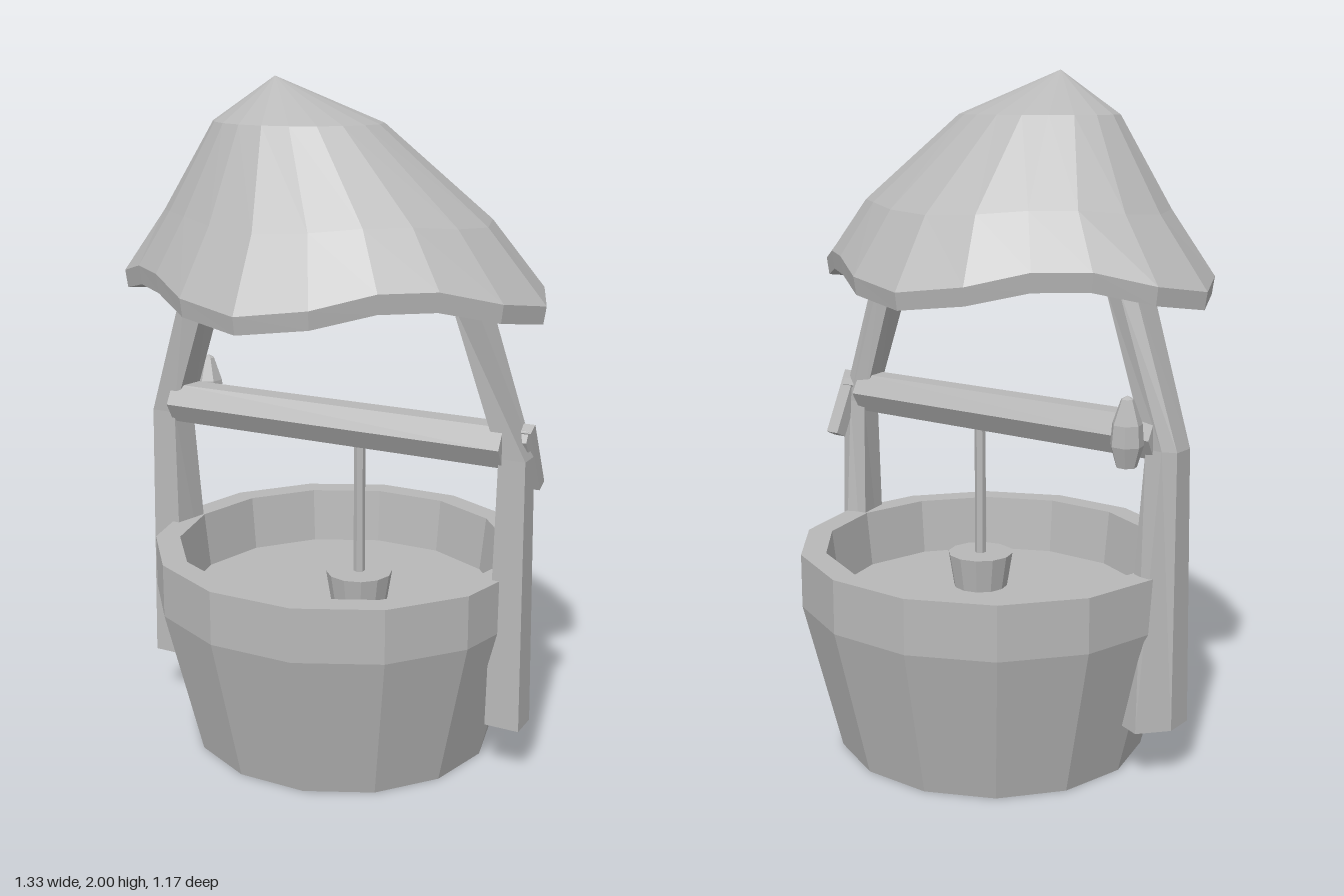
import * as THREE from 'three';

const stone = new THREE.MeshStandardMaterial({ color: 0xb8b8b8, flatShading: true, side: THREE.DoubleSide });
stone.name = 'plain grey';

// Skin a list of equal-length rings of [x, y, z]; a ring may repeat one point to form a tip
function loft(rings, capEnds = false) {
  const n = rings[0].length, pos = rings.flat(2), idx = [];
  for (let r = 0; r < rings.length - 1; r++) {
    for (let i = 0; i < n; i++) {
      const a = r * n + i, b = r * n + (i + 1) % n;
      idx.push(a, a + n, b, b, a + n, b + n);
    }
  }
  if (capEnds) {
    const top = (rings.length - 1) * n;
    for (let i = 1; i < n - 1; i++) idx.push(0, i, i + 1, top, top + i + 1, top + i);
  }
  const g = new THREE.BufferGeometry();
  g.setAttribute('position', new THREE.Float32BufferAttribute(pos, 3));
  g.setIndex(idx);
  g.computeVertexNormals();
  return g;
}

const lathe = (pts, sides, start = 0) =>
  new THREE.LatheGeometry(pts.map(p => new THREE.Vector2(...p)), sides, start);

export function createModel() {
  const model = new THREE.Group();
  model.name = 'well';
  const add = (name, geometry, x = 0, y = 0, z = 0) => {
    const m = new THREE.Mesh(geometry, stone);
    m.name = name;
    m.position.set(x, y, z);
    model.add(m);
    return m;
  };

  // Basin: open below, thick rim on top
  const half = Math.PI / 14;
  const basin = add('basin', lathe([[0.467, 0], [0.58, 0.45], [0.58, 0.61], [0.505, 0.61], [0.485, 0.44]], 14, half), 0, 0, -0.03);
  basin.scale.z = 0.98;
  const water = add('water', lathe([[0.485, 0.44], [0, 0.44]], 14, half), 0, 0, -0.03);
  water.scale.z = 0.98;

  // Bent posts, flared at the foot, mirrored left and right
  const sections = [
    [0.16, [[0.63, 0.08], [0.63, -0.01], [0.56, -0.09], [0.49, -0.06], [0.525, 0.08]]],
    [0.97, [[0.62, 0.07], [0.62, 0], [0.58, -0.015], [0.525, -0.01], [0.54, 0.07]]],
    [1.42, [[0.465, 0.1], [0.47, 0], [0.43, -0.02], [0.38, -0.01], [0.385, 0.08]]],
  ];
  for (const [name, s] of [['leftPost', 1], ['rightPost', -1]]) {
    const rings = sections.map(([y, pts]) => pts.map(([x, z]) => [s * x, y, z]));
    if (s < 0) rings.forEach(r => r.reverse());
    add(name, loft(rings, true));
  }

  // Winding beam with crank on the left and knob on the right
  add('beam', new THREE.CylinderGeometry(0.068, 0.068, 1.1, 6), 0, 1.0, 0.03).rotation.z = Math.PI / 2;
  add('axleEnd', new THREE.CylinderGeometry(0.035, 0.035, 0.1, 6), 0.565, 1.02, 0.02).rotation.z = Math.PI / 2;
  add('crank', new THREE.BoxGeometry(0.045, 0.21, 0.04), 0.6, 0.96, -0.02).rotation.x = 0.45;
  add('knob', lathe([[0, 0.93], [0.03, 0.93], [0.048, 0.99], [0.043, 1.05], [0.018, 1.12], [0, 1.13]], 7), -0.505, 0, -0.077);

  // Rope and bucket
  add('rope', new THREE.CylinderGeometry(0.017, 0.017, 0.46, 6), 0.087, 0.74, 0.03);
  add('bucket', new THREE.CylinderGeometry(0.1, 0.083, 0.105, 12), 0.087, 0.4925, 0.03);

  // Roof: leaning cone with a wavy rim, low on the axes and high on the diagonals
  const sides = 20;
  const ring = (cx, cz, rx, rz, y, wave, lift) => Array.from({ length: sides }, (_, i) => {
    const a = -i / sides * Math.PI * 2;
    const w = Math.sin(2 * a) ** 2;
    const k = 1 - wave * w;
    return [cx + rx * k * Math.cos(a), y + lift * w, cz + rz * k * Math.sin(a)];
  });
  add('roof', loft([
    ring(0, 0.065, 0, 0, 1.41, 0, 0),
    ring(0, 0.065, 0.655, 0.51, 1.36, 0.14, 0.065),
    ring(0, 0.065, 0.663, 0.518, 1.41, 0.14, 0.07),
    ring(-0.01, 0.065, 0.5, 0.4, 1.61, 0.07, 0.02),
    ring(-0.075, 0.1, 0.255, 0.2, 1.875, 0.02, 0),
    ring(-0.13, 0.13, 0, 0, 2, 0, 0),
  ]));

  return model;
}
